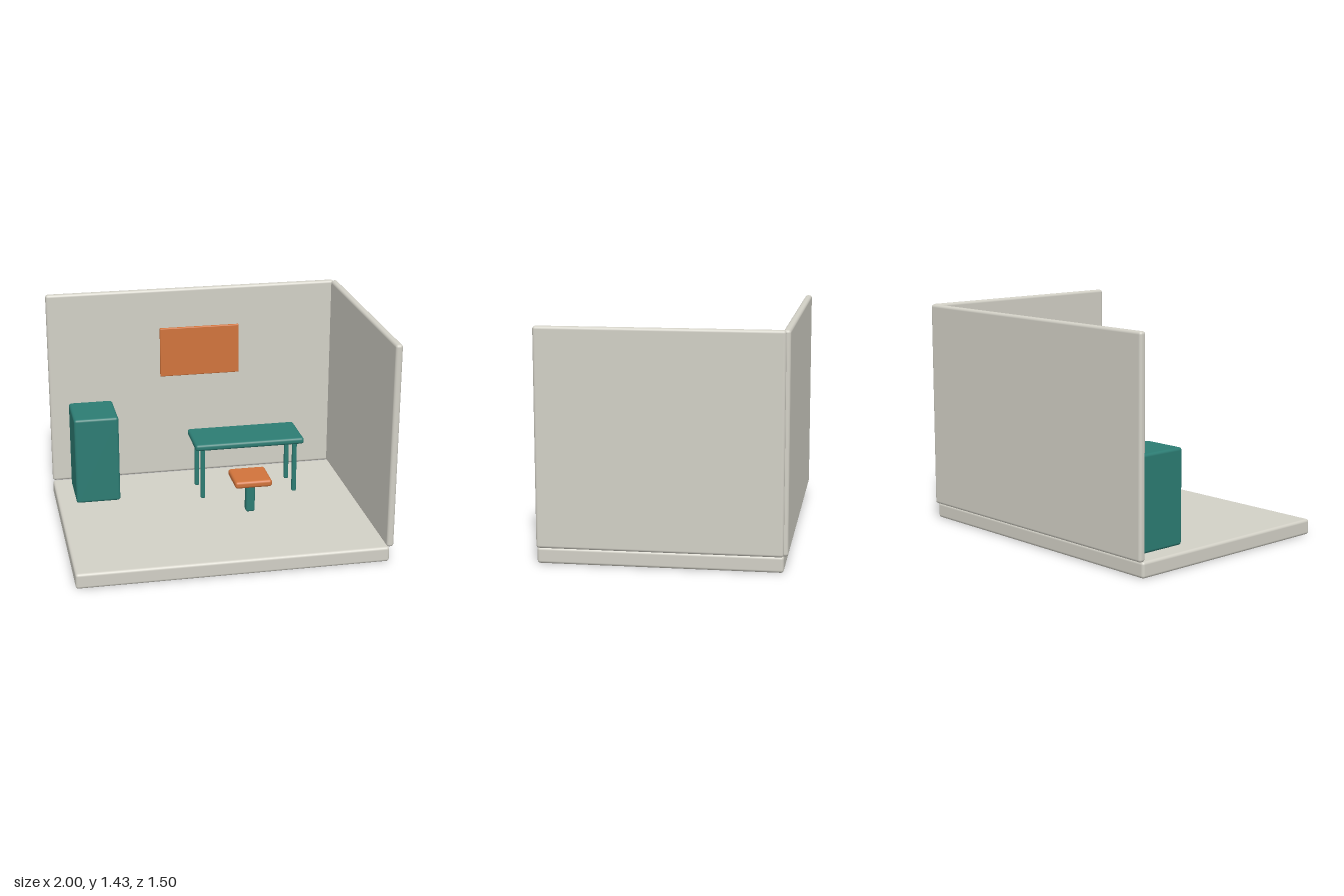
import * as THREE from 'three';
import { RoundedBoxGeometry } from 'three/addons/geometries/RoundedBoxGeometry.js';

export function createModel() {
  const room = new THREE.Group();
  room.name = 'officeCorner';

  const material = (name, color) => {
    const m = new THREE.MeshStandardMaterial({ color });
    m.name = name;
    return m;
  };
  const plaster = material('warm grey plaster', 0xd2d0c6);
  const teal = material('teal', 0x2c7c73);
  const orange = material('orange', 0xd0733b);

  // Rounded box given by its [min, max] extent on each axis
  function block(parent, name, mat, x, y, z, radius) {
    const size = [x, y, z].map(([a, b]) => b - a);
    const mesh = new THREE.Mesh(new RoundedBoxGeometry(...size, 3, radius), mat);
    mesh.position.set((x[0] + x[1]) / 2, (y[0] + y[1]) / 2, (z[0] + z[1]) / 2);
    mesh.name = name;
    parent.add(mesh);
  }
  const around = (c, w) => [c - w / 2, c + w / 2];

  // Floor slab and two walls
  block(room, 'floor', plaster, [-1, 0.975], [0, 0.1], [-0.725, 0.75], 0.018);
  block(room, 'backWall', plaster, [-1, 0.975], [0.1, 1.43], [-0.75, -0.705], 0.018);
  block(room, 'sideWall', plaster, [0.955, 1], [0.1, 1.43], [-0.725, 0.75], 0.018);

  // Cabinet and wall panel
  block(room, 'cabinet', teal, [-0.88, -0.585], [0.1, 0.695], [-0.632, -0.287], 0.018);
  block(room, 'wallPanel', orange, [-0.24, 0.305], [0.82, 1.162], [-0.706, -0.684], 0.006);

  // Desk with four legs
  const desk = new THREE.Group();
  desk.name = 'desk';
  room.add(desk);
  block(desk, 'deskTop', teal, [-0.09, 0.65], [0.455, 0.5], [-0.5, -0.177], 0.018);
  for (const x of [-0.035, 0.595])
    for (const z of [-0.45, -0.227])
      block(desk, 'deskLeg', teal, around(x, 0.03), [0.1, 0.46], around(z, 0.03), 0.009);

  // Stool
  const stool = new THREE.Group();
  stool.name = 'stool';
  room.add(stool);
  block(stool, 'stoolSeat', orange, [0.11, 0.355], [0.31, 0.358], [-0.09, 0.155], 0.018);
  block(stool, 'stoolPost', teal, around(0.232, 0.06), [0.1, 0.315], around(0.032, 0.06), 0.014);

  return room;
}
